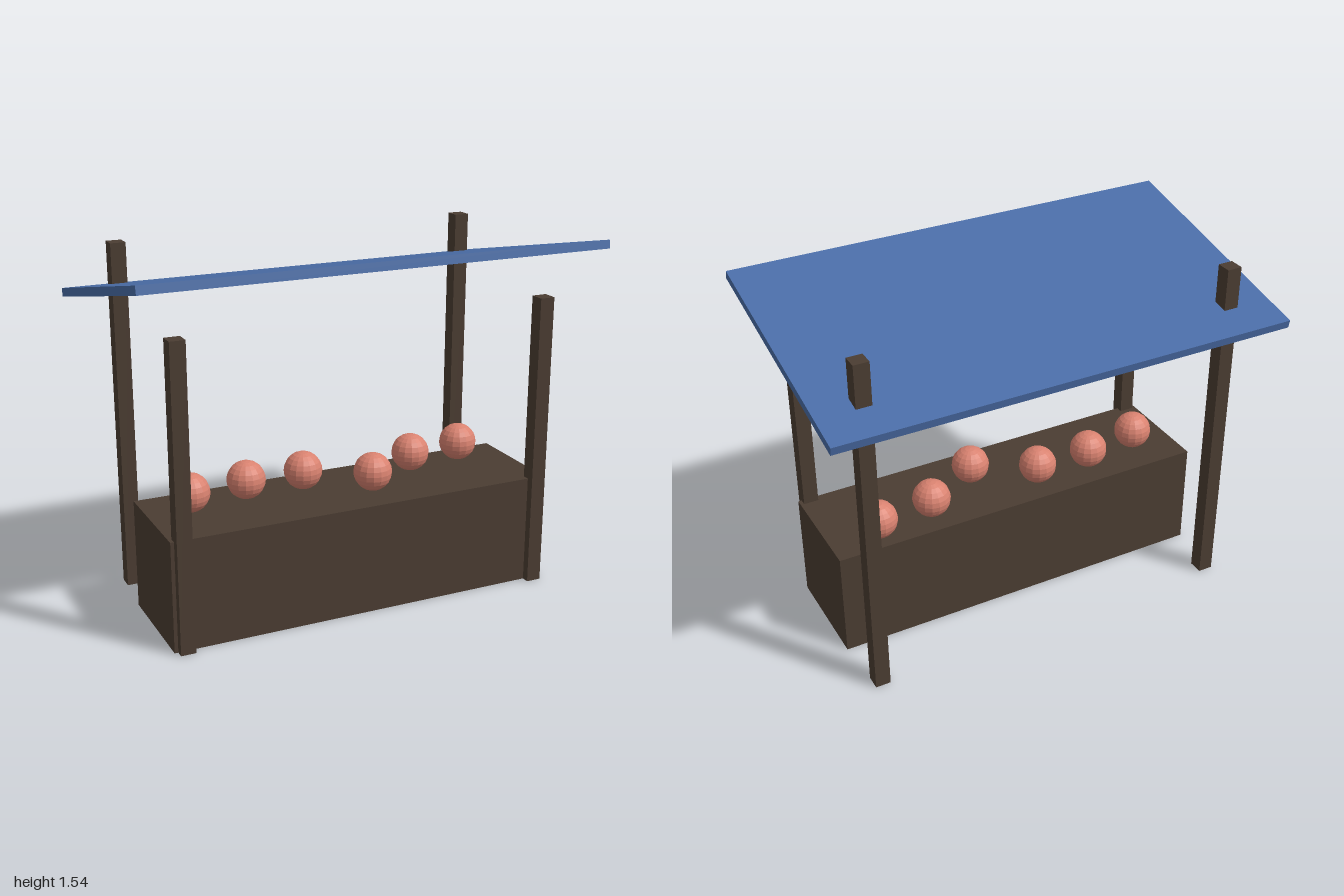
import * as THREE from 'three';

const material = (name, color, flatShading = false) => {
  const m = new THREE.MeshStandardMaterial({ color, flatShading });
  m.name = name;
  return m;
};

export function createModel() {
  const model = new THREE.Group();
  model.name = 'marketStall';
  const wood = material('darkWood', 0x4b3d32);
  const cloth = material('blueCanopy', 0x4a6da7);
  const fruitSkin = material('coralFruit', 0xd98270, true);

  const add = (name, geometry, mat, x, y, z) => {
    const mesh = new THREE.Mesh(geometry, mat);
    mesh.name = name;
    mesh.position.set(x, y, z);
    model.add(mesh);
    return mesh;
  };

  // Counter
  add('counter', new THREE.BoxGeometry(1.714, 0.477, 0.476), wood, 0, 0.2385, 0.12);

  // Posts: the back pair is taller and pierces the roof
  for (const [row, height, z] of [['front', 1.286, 0.359], ['back', 1.525, -0.357]]) {
    for (const [side, x] of [['Left', 0.809], ['Right', -0.809]]) {
      add(`${row}${side}Post`, new THREE.BoxGeometry(0.065, height, 0.065), wood, x, height / 2, z);
    }
  }

  // Sloping roof, raised at the front
  const roof = add('roof', new THREE.BoxGeometry(2, 0.036, 1.09), cloth, 0, 1.408, 0);
  roof.rotation.x = -0.2094;

  // Row of fruit, evenly spaced along the counter with uneven depth
  const fruit = new THREE.SphereGeometry(0.083, 16, 12);
  [0.066, 0.025, 0.023, 0.165, 0.014, -0.02].forEach((z, i) => {
    add(`fruit${i + 1}`, fruit, fruitSkin, -0.67 + i * 0.262, 0.551, z);
  });

  return model;
}
